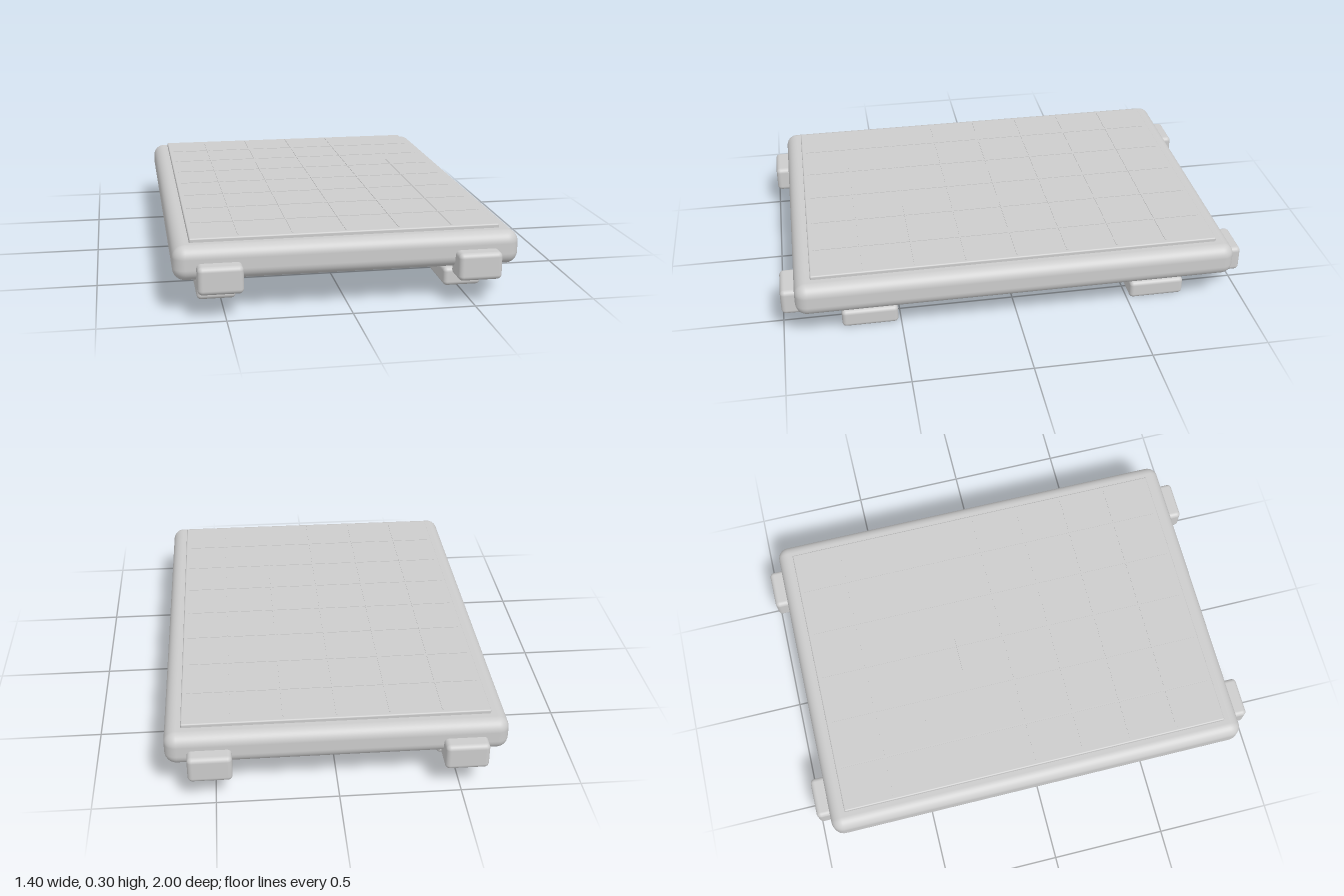
import * as THREE from 'three';
import { RoundedBoxGeometry } from 'three/addons/geometries/RoundedBoxGeometry.js';

export function createModel() {
  const model = new THREE.Group();
  model.name = 'gridPlatform';
  const grey = new THREE.MeshStandardMaterial({ name: 'light grey', color: 0xcccccc });

  // Box given by its size and centre; a radius above zero rounds its edges
  function box(name, [w, h, d], [x, y, z], radius = 0) {
    const geometry = radius > 0
      ? new RoundedBoxGeometry(w, h, d, 5, radius)
      : new THREE.BoxGeometry(w, h, d);
    const mesh = new THREE.Mesh(geometry, grey);
    mesh.name = name;
    mesh.position.set(x, y, z);
    model.add(mesh);
  }

  // Rounded slab with a thin raised panel on top
  box('slab', [1.4, 0.142, 1.88], [0, 0.213, 0], 0.05);
  box('topPanel', [1.26, 0.03, 1.74], [0, 0.285, 0], 0.006);

  // Fine raised grid on the panel: 6 columns by 8 rows
  const pitch = 0.217, lineY = 0.3;
  for (let i = -2; i <= 2; i++) {
    box('lengthwiseGridLine', [0.006, 0.004, 1.7], [i * pitch, lineY, 0]);
  }
  for (let i = -3; i <= 3; i++) {
    box('crosswiseGridLine', [1.22, 0.004, 0.006], [0, lineY, i * pitch]);
  }

  for (const sx of [-1, 1]) {
    // Straight rail under the slab
    box('underRail', [0.078, 0.075, 0.894], [sx * 0.438, 0.1175, 0], 0.004);
    for (const sz of [-1, 1]) {
      // End bumpers and feet
      box('bumper', [0.18, 0.114, 0.12], [sx * 0.519, 0.162, sz * 0.94], 0.02);
      box('foot', [0.16, 0.08, 0.24], [sx * 0.518, 0.04, sz * 0.632], 0.018);
    }
  }
  return model;
}
